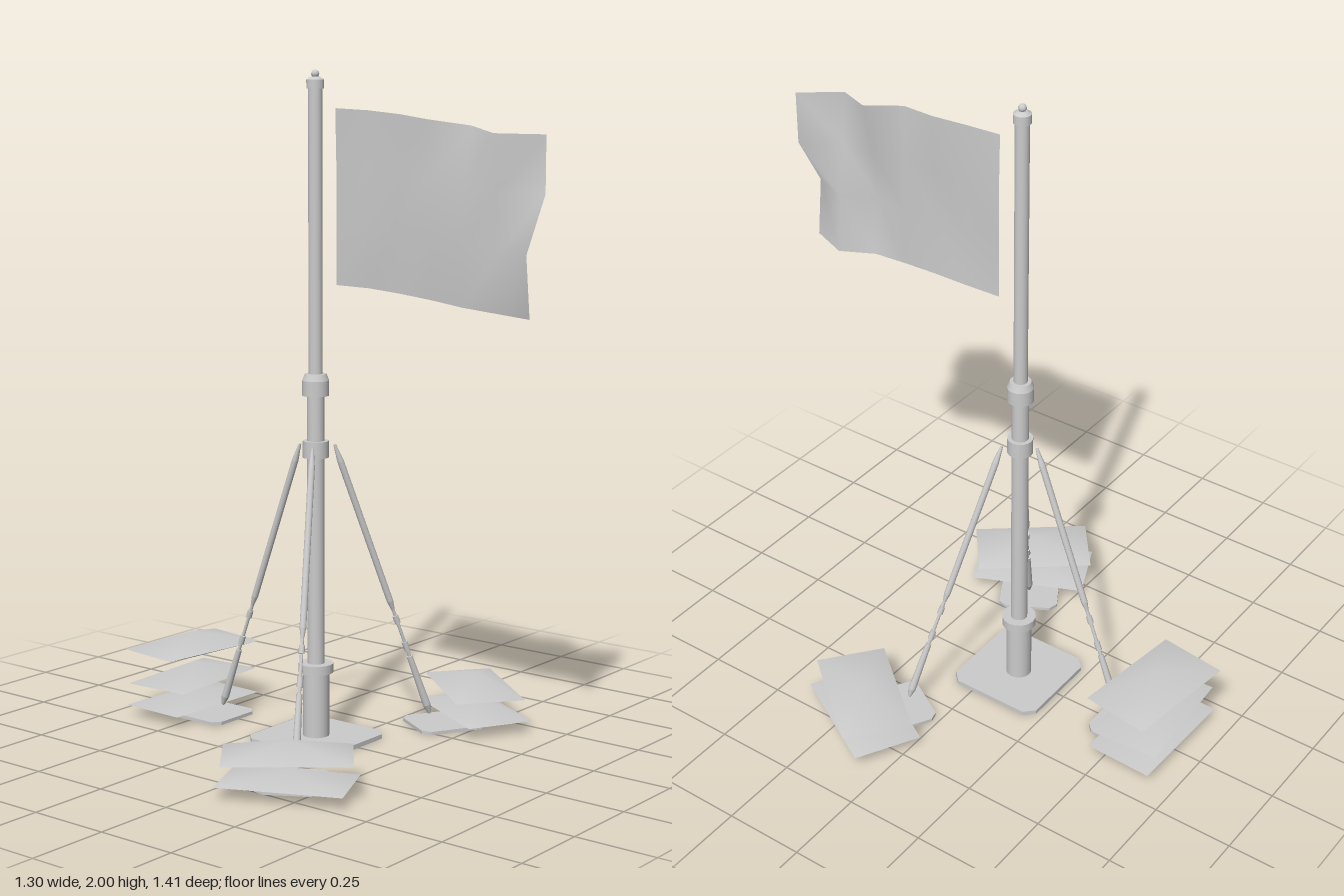
import * as THREE from 'three';

const mat = new THREE.MeshStandardMaterial({ color: 0xcccccc });
const thin = new THREE.MeshStandardMaterial({ color: 0xcccccc, side: THREE.DoubleSide });

function add(parent, name, geo, material = mat) {
  const m = new THREE.Mesh(geo, material);
  m.name = name;
  parent.add(m);
  return m;
}

// Upright tapered section between two heights
function section(parent, name, y0, y1, r0, r1 = r0) {
  const m = add(parent, name, new THREE.CylinderGeometry(r1, r0, y1 - y0, 16));
  m.position.y = (y0 + y1) / 2;
  return m;
}

// Flat plate with cut corners
function plate(w, d, cut, t) {
  const x = w / 2, y = d / 2;
  const pts = [[x - cut, -y], [x, -y + cut], [x, y - cut], [x - cut, y],
    [-x + cut, y], [-x, y - cut], [-x, -y + cut], [-x + cut, -y]];
  const shape = new THREE.Shape(pts.map(p => new THREE.Vector2(...p)));
  return new THREE.ExtrudeGeometry(shape, { depth: t, bevelEnabled: false }).rotateX(-Math.PI / 2);
}

// Weight bag: a rectangle swelling to one peak above and one below
function bag(w, d, up, down) {
  const rim = [[-w / 2, -d / 2], [-w / 2, d / 2], [w / 2, d / 2], [w / 2, -d / 2]];
  const pos = [], idx = [];
  for (const h of [up, -down]) {
    const b = pos.length / 3;
    pos.push(0, h, 0);
    for (const [x, z] of rim) pos.push(x, 0, z);
    for (let i = 0; i < 4; i++) {
      const p = b + 1 + i, q = b + 1 + (i + 1) % 4;
      idx.push(b, ...(h > 0 ? [p, q] : [q, p]));
    }
  }
  const g = new THREE.BufferGeometry();
  g.setAttribute('position', new THREE.Float32BufferAttribute(pos, 3));
  g.setIndex(idx);
  g.computeVertexNormals();
  return g;
}

// Waving cloth: sideways offset for each row (top to bottom) and column
function flagGeometry() {
  const wave = [
    [-0.005, -0.005, -0.01, -0.035, 0.005, -0.06, 0.02],
    [0, -0.005, -0.01, -0.03, -0.03, -0.045, 0.02],
    [0, -0.01, -0.02, -0.02, -0.05, -0.02, -0.07],
    [0, 0, -0.01, -0.02, -0.03, 0, -0.05]];
  const drop = [0, 0.165, 0.33, 0.51];
  const topEdge = [1.89, 1.885, 1.875, 1.862, 1.846, 1.828, 1.825];
  const g = new THREE.PlaneGeometry(1, 1, 6, 3);
  const p = g.attributes.position;
  for (let r = 0; r < 4; r++)
    for (let c = 0; c < 7; c++)
      p.setXYZ(r * 7 + c, wave[r][c], topEdge[c] - drop[r] * (1 - 0.005 * c), c * 0.705 / 6);
  g.computeVertexNormals();
  return g;
}

// Bracing strut, laid along a line from the mast collar to the anchor plate
function strut(parent) {
  const a = new THREE.Vector3(0, 0.9, 0.06), b = new THREE.Vector3(0, 0.04, 0.375);
  const len = a.distanceTo(b);
  const g = new THREE.Group();
  g.name = 'strut';
  g.position.copy(b);
  g.quaternion.setFromUnitVectors(new THREE.Vector3(0, 1, 0), a.clone().sub(b).normalize());
  const parts = [
    ['lowerEnd', 0, 0.03, 0.005, 0.012], ['lowerBar', 0.03, 0.2, 0.012, 0.009],
    ['turnbuckleScrew', 0.2, 0.36, 0.005, 0.005], ['lowerNut', 0.22, 0.25, 0.009, 0.009],
    ['upperNut', 0.315, 0.34, 0.009, 0.009], ['rodTip', 0.36, 0.39, 0.005, 0.01],
    ['upperRod', 0.39, 0.86, 0.01, 0.01], ['rodHead', 0.86, len, 0.01, 0.004]];
  for (const part of parts) section(g, ...part);
  parent.add(g);
}

export function createModel() {
  const root = new THREE.Group();
  root.name = 'flagpole';

  // Mast and its fittings
  const mast = new THREE.Group();
  mast.name = 'mast';
  mast.position.set(-0.01, 0, -0.07);
  root.add(mast);
  add(mast, 'basePlate', plate(0.31, 0.31, 0.03, 0.014));
  const sections = [
    ['baseSleeve', 0.014, 0.21, 0.04], ['sleeveCollar', 0.21, 0.238, 0.053],
    ['lowerPole', 0.23, 1.06, 0.026], ['strutCollar', 0.865, 0.915, 0.039],
    ['coupling', 1.05, 1.095, 0.04], ['couplingTaper', 1.095, 1.115, 0.04, 0.032],
    ['upperPole', 1.1, 1.95, 0.021], ['topCap', 1.945, 1.972, 0.026],
    ['capTaper', 1.972, 1.98, 0.026, 0.013]];
  for (const s of sections) section(mast, ...s);
  add(mast, 'finial', new THREE.SphereGeometry(0.012, 12, 8)).position.y = 1.988;

  add(root, 'flag', flagGeometry(), thin);

  // Three legs: strut, anchor plate and stacked bags (twists from bottom to top)
  const levels = [[0.036, 0.036, 0.022], [0.11, 0.046, 0.025], [0.21, 0.046, 0.04]];
  const legs = [
    { angle: Math.PI, r: 0.5, twists: [-0.03, 0.06, -0.13] },
    { angle: Math.PI / 3, r: 0.525, twists: [0.02, -0.15] },
    { angle: -Math.PI / 3, r: 0.51, twists: [-0.1, 0.15] }];
  for (const { angle, r, twists } of legs) {
    const leg = new THREE.Group();
    leg.name = 'leg';
    leg.rotation.y = angle;
    mast.add(leg);
    strut(leg);
    add(leg, 'anchorPlate', plate(0.19, 0.215, 0.022, 0.01)).position.z = 0.425;
    twists.forEach((twist, i) => {
      const [y, up, down] = levels[i];
      const m = add(leg, 'weightBag', bag(0.37, 0.215, up, down));
      m.position.set(0, y, r);
      m.rotation.y = twist;
    });
  }
  return root;
}
